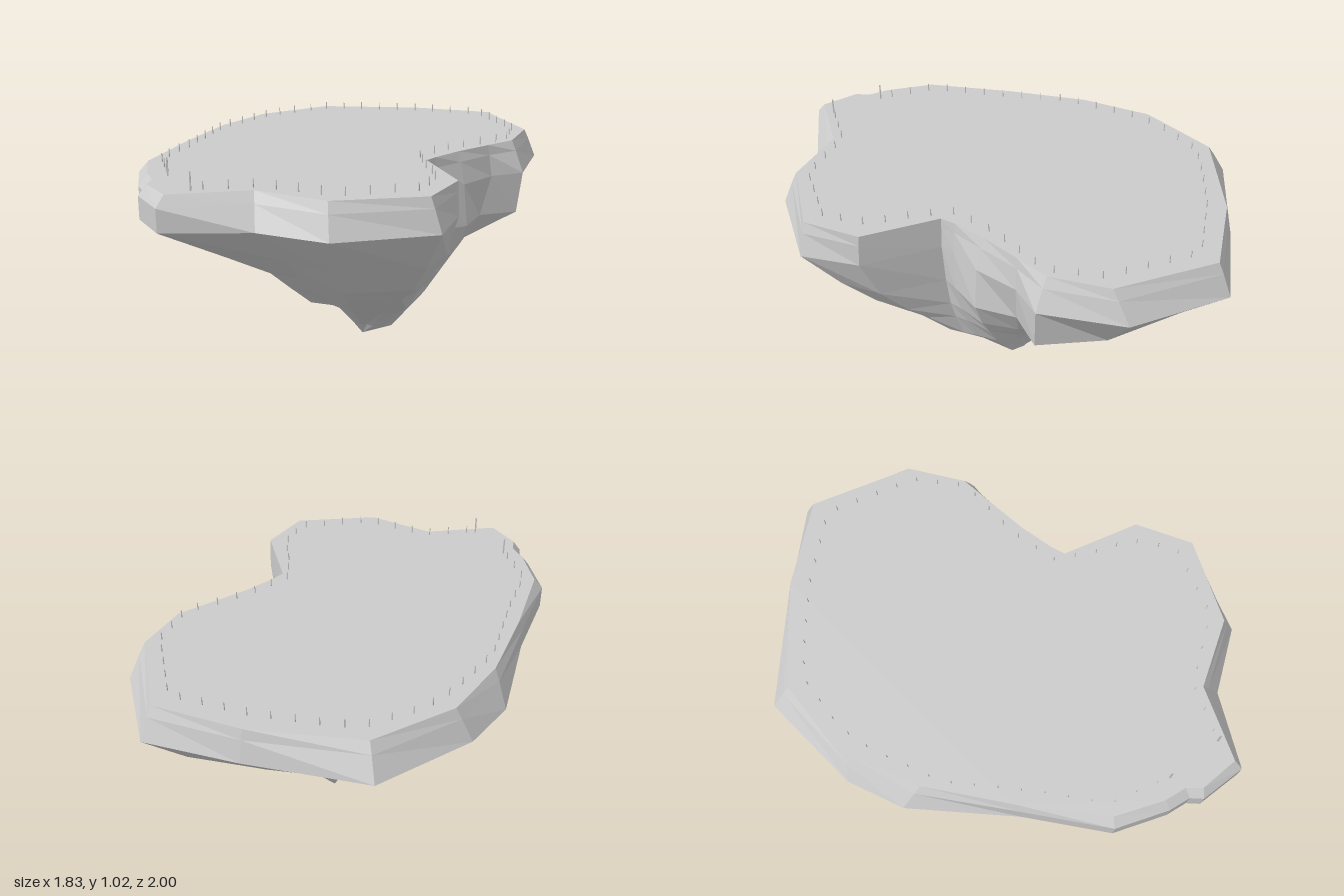
import * as THREE from 'three';

const material = new THREE.MeshStandardMaterial({ color: 0xcccccc, flatShading: true });
const TOP = 0.945;
const TIP = new THREE.Vector3(0.055, 0, -0.05);

// Plan outlines as [x, z], in matching order from the back round by +x
const rim = [
  [-0.08, -1], [0.42, -0.86], [0.81, -0.72], [0.915, -0.285], [0.775, 0.05], [0.62, 0.1], [0.47, 0.235],
  [0.34, 0.31], [0.29, 0.355], [0.36, 0.7], [0.255, 0.935], [-0.165, 1], [-0.43, 0.855], [-0.79, 0.83],
  [-0.875, 0.645], [-0.86, 0.59], [-0.89, 0.5], [-0.915, 0.265], [-0.77, -0.08], [-0.63, -0.545], [-0.47, -0.75],
];
const edge = [
  [-0.065, -0.91], [0.405, -0.83], [0.76, -0.675], [0.845, -0.23], [0.73, 0], [0.6, 0.09], [0.445, 0.2],
  [0.33, 0.3], [0.285, 0.35], [0.355, 0.69], [0.215, 0.905], [-0.165, 0.935], [-0.43, 0.765], [-0.76, 0.8],
  [-0.84, 0.645], [-0.825, 0.575], [-0.855, 0.485], [-0.875, 0.265], [-0.74, -0.11], [-0.59, -0.455], [-0.4, -0.72],
];

// Heights of the rock rings, and how far each reaches from the tip axis to the rim, by direction in degrees
const levels = [0.62, 0.48, 0.39, 0.27, 0.22, 0.07];
const reach = [
  [-90, 0.74, 0.5, 0.33, 0.25, 0.2, 0.05],
  [-45, 0.8, 0.5, 0.36, 0.21, 0.17, 0.05],
  [-18, 0.82, 0.5, 0.4, 0.25, 0.2, 0.08],
  [8, 0.97, 0.62, 0.5, 0.35, 0.27, 0.13],
  [15, 0.92, 0.78, 0.63, 0.45, 0.36, 0.19],
  [38, 1.06, 0.93, 0.82, 0.67, 0.59, 0.33],
  [60, 0.97, 0.93, 0.88, 0.79, 0.67, 0.25],
  [68, 0.9, 0.75, 0.63, 0.5, 0.4, 0.12],
  [78, 0.85, 0.71, 0.57, 0.39, 0.3, 0.07],
  [100, 0.83, 0.69, 0.56, 0.38, 0.29, 0.06],
  [140, 0.7, 0.48, 0.4, 0.29, 0.15, 0.05],
  [175, 0.65, 0.41, 0.36, 0.28, 0.12, 0.05],
  [225, 0.7, 0.42, 0.34, 0.26, 0.14, 0.04],
  [262, 0.74, 0.5, 0.33, 0.27, 0.24, 0.05],
  [270, 0.74, 0.5, 0.33, 0.25, 0.2, 0.05],
];

function reachAt(x, z, level) {
  let a = THREE.MathUtils.radToDeg(Math.atan2(z - TIP.z, x - TIP.x));
  if (a < -90) a += 360;
  const i = reach.findIndex((r, k) => k > 0 && a <= r[0]);
  const [p, q] = [reach[i - 1], reach[i]];
  return THREE.MathUtils.lerp(p[level + 1], q[level + 1], (a - p[0]) / (q[0] - p[0]));
}

// Faceted skin between stacked rings listed from top to bottom, optionally closed at a point
function skin(rings, tip) {
  const pos = [];
  const tri = (...points) => points.forEach((p) => pos.push(p.x, p.y, p.z));
  const n = rings[0].length;
  for (let k = 0; k < rings.length; k++) {
    for (let i = 0; i < n; i++) {
      const j = (i + 1) % n;
      const [u0, u1] = [rings[k][i], rings[k][j]];
      if (k + 1 < rings.length) {
        const [l0, l1] = [rings[k + 1][i], rings[k + 1][j]];
        tri(u0, u1, l0);
        tri(u1, l1, l0);
      } else if (tip) tri(u0, u1, tip);
    }
  }
  const g = new THREE.BufferGeometry();
  g.setAttribute('position', new THREE.Float32BufferAttribute(pos, 3));
  g.computeVertexNormals();
  return g;
}

function add(parent, name, geometry) {
  const mesh = new THREE.Mesh(geometry, material);
  mesh.name = name;
  parent.add(mesh);
  return mesh;
}

export function createModel() {
  const group = new THREE.Group();
  group.name = 'floatingIsland';

  // Flat ground on top
  const shape = new THREE.Shape(edge.map(([x, z]) => new THREE.Vector2(x, -z)));
  add(group, 'ground', new THREE.ShapeGeometry(shape).rotateX(-Math.PI / 2).translate(0, TOP, 0));

  // Bevelled rim, upright on the -x side
  const topRing = edge.map(([x, z]) => new THREE.Vector3(x, TOP, z));
  const rimRing = rim.map(([x, z]) => new THREE.Vector3(x, 0.805, z));
  const midRing = topRing.map((p, i) => {
    const q = p.clone().lerp(rimRing[i], p.x < -0.7 ? 1 : 0.35);
    q.y = 0.9;
    return q;
  });
  add(group, 'rim', skin([topRing, midRing, rimRing]));

  // Rock tapering to a point
  const rockRings = levels.map((y, level) => rim.map(([x, z]) => {
    const f = reachAt(x, z, level);
    return new THREE.Vector3(TIP.x + (x - TIP.x) * f, y, TIP.z + (z - TIP.z) * f);
  }));
  add(group, 'rock', skin([rimRing, ...rockRings], TIP));

  // Small fence posts just inside the edge
  const fence = new THREE.Group();
  fence.name = 'fence';
  group.add(fence);
  const fenceLine = [
    [-0.78, 0.47], [-0.82, 0.26], [-0.72, 0.015], [-0.59, -0.37], [-0.4, -0.62], [-0.28, -0.73], [-0.04, -0.84],
    [0.13, -0.81], [0.38, -0.75], [0.7, -0.62], [0.78, -0.22], [0.7, 0], [0.43, 0.15], [0.26, 0.3], [0.26, 0.5],
    [0.28, 0.64], [0.2, 0.825], [-0.13, 0.88], [-0.41, 0.725], [-0.62, 0.75],
  ];
  const path = new THREE.CurvePath();
  for (let i = 1; i < fenceLine.length; i++) {
    path.add(new THREE.LineCurve(new THREE.Vector2(...fenceLine[i - 1]), new THREE.Vector2(...fenceLine[i])));
  }
  const post = new THREE.CylinderGeometry(0.002, 0.003, 0.036, 4).translate(0, 0.018, 0);
  const COUNT = 54;
  for (let i = 0; i < COUNT; i++) {
    const p = path.getPointAt(i / (COUNT - 1));
    add(fence, 'post', post).position.set(p.x, TOP, p.y);
  }

  // Taller gate posts at the opening
  for (const [x, z] of [[-0.77, 0.525], [-0.665, 0.755]]) {
    const gate = add(group, 'gatePost', new THREE.BoxGeometry(0.006, 0.075, 0.006).translate(0, 0.0375, 0));
    gate.position.set(x, TOP, z);
  }
  return group;
}
